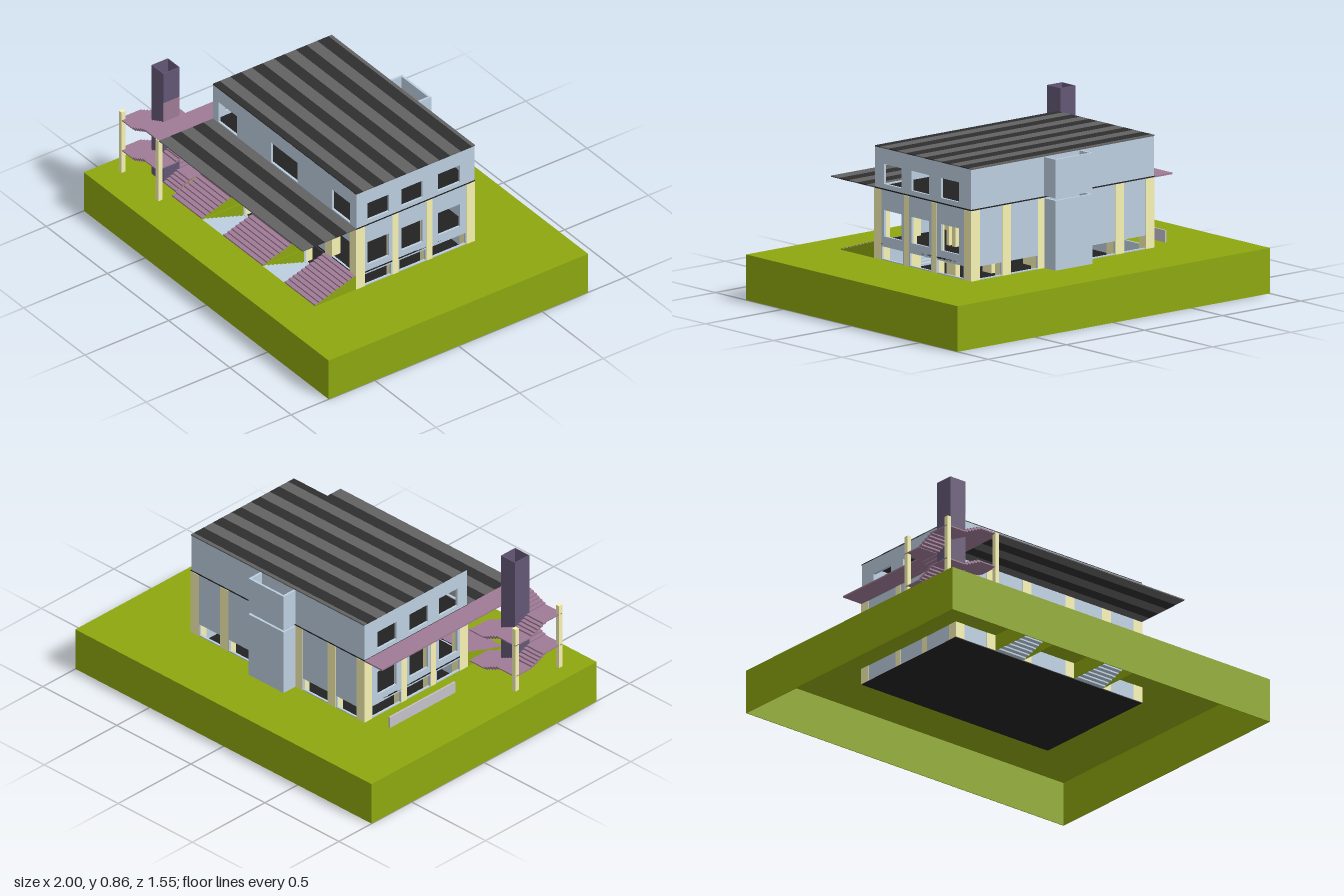
import * as THREE from 'three';

const mat = (color) => new THREE.MeshStandardMaterial({ color, side: THREE.DoubleSide });

export function createModel() {
  const root = new THREE.Group();
  const M = {
    grass: mat(0x8da70f), wall: mat(0xbccfe0), pillar: mat(0xf8f3b3), stair: mat(0x9f7b96),
    shaft: mat(0x645776), roofLight: mat(0x626262), roofDark: mat(0x2f2f2f),
    floor: mat(0x222222), panel: mat(0xc4c1cb),
  };
  const group = (name, parent = root) => {
    const g = new THREE.Group();
    g.name = name;
    parent.add(g);
    return g;
  };
  // box given by its limits on each axis
  const box = (name, m, x0, x1, y0, y1, z0, z1, parent = root) => {
    const b = new THREE.Mesh(new THREE.BoxGeometry(x1 - x0, y1 - y0, z1 - z0), m);
    b.position.set((x0 + x1) / 2, (y0 + y1) / 2, (z0 + z1) / 2);
    b.name = name;
    parent.add(b);
  };
  const rect = (a, b, c, d, T = THREE.Path) => {
    const p = new T();
    p.moveTo(a, c); p.lineTo(b, c); p.lineTo(b, d); p.lineTo(a, d); p.closePath();
    return p;
  };

  const G = 0.225, BASE = 0.145, F1 = 0.3, F2 = 0.573, TOP = 0.777;
  const X = 0.585, ZB = -0.4, ZF = 0.307, T = 0.012;
  const Z1 = 0.553, D = 0.775;
  const wells = [[-0.335, -0.165], [0.16, 0.335]];

  // Ground: open-bottomed shell with a hole for the basement and its entrances
  const ground = group('ground');
  const lawn = rect(-1, 1, -D, D, THREE.Shape);
  const hole = new THREE.Path();
  hole.moveTo(-X, -ZB);
  hole.lineTo(-X, -ZF);
  for (const [a, b] of wells) {
    hole.lineTo(a, -ZF); hole.lineTo(a, -Z1); hole.lineTo(b, -Z1); hole.lineTo(b, -ZF);
  }
  hole.lineTo(X, -ZF);
  hole.lineTo(X, -ZB);
  hole.closePath();
  lawn.holes.push(hole);
  const top = new THREE.Mesh(new THREE.ShapeGeometry(lawn), M.grass);
  top.rotation.x = -Math.PI / 2;
  top.position.y = G;
  top.name = 'lawn';
  ground.add(top);
  box('groundSide', M.grass, -1, -0.996, 0, G, -D, D, ground);
  box('groundSide', M.grass, 0.996, 1, 0, G, -D, D, ground);
  box('groundBack', M.grass, -1, 1, 0, G, -D, -D + 0.004, ground);
  box('groundFront', M.grass, -1, 1, 0, G, D - 0.004, D, ground);

  // Walls: a pierced sheet in the xy plane, holes as [a, b, bottom, top]
  const building = group('building');
  const wall = (name, a, b, holes, place) => {
    const s = rect(a, b, BASE, TOP, THREE.Shape);
    holes.forEach((h) => s.holes.push(rect(...h)));
    const w = new THREE.Mesh(new THREE.ExtrudeGeometry(s, { depth: T, bevelEnabled: false }), M.wall);
    place(w);
    w.name = name;
    building.add(w);
  };
  const frontBays = [[-0.54, -0.39], [-0.11, 0.105], [0.385, 0.535]];
  const frontHoles = frontBays.flatMap(([a, b]) => [[a, b, F1 + 0.008, 0.473], [a, b, 0.585, 0.699]]);
  frontHoles.push([-0.335, -0.168, BASE + 0.01, 0.295], [0.16, 0.332, BASE + 0.01, 0.295]);
  wall('frontWall', -X, X, frontHoles, (w) => { w.position.z = ZF - T; });

  const backHoles = [[-0.535, -0.395], [-0.335, -0.17], [0.16, 0.33], [0.39, 0.53]]
    .map(([a, b]) => [a, b, 0.23, 0.292]);
  wall('backWall', -X, X, backHoles, (w) => { w.position.z = ZB; });

  // side sheets are drawn with their horizontal axis along -z
  const sideHoles = [[-0.24, -0.112], [-0.038, 0.09], [0.18, 0.312]]
    .flatMap(([a, b]) => [[a, b, 0.602, 0.7], [a, b, 0.343, 0.473]]);
  [[-0.255, -0.1], [-0.05, 0.107], [0.15, 0.345]].forEach(([a, b]) => sideHoles.push([a, b, 0.23, 0.292]));
  for (const x of [-X, X - T]) {
    wall('sideWall', -ZF, -ZB, sideHoles, (w) => {
      w.rotation.y = Math.PI / 2;
      w.position.x = x;
    });
  }

  // Pillars standing slightly proud of the walls up to the first roof
  const P = 0.002;
  const pillar = (x0, x1, z0, z1, name = 'pillar', y1 = F2 - 0.002) =>
    box(name, M.pillar, x0, x1, BASE, y1, z0, z1, building);
  for (const x of [-0.587, -0.392, -0.165, 0.103, 0.333, 0.532]) {
    pillar(x, x + 0.055, ZF - 0.05, ZF + P);
    pillar(x, x + 0.055, ZB - P, ZB + 0.05);
  }
  for (const z of [0.055, -0.146]) {
    pillar(-X - P, -X + 0.05, z, z + 0.036);
    pillar(X - 0.05, X + P, z, z + 0.036);
  }
  for (const x of [-0.37, -0.14, 0.12, 0.35]) {
    pillar(x, x + 0.03, -0.004, 0.016, 'innerPillar');
    pillar(x, x + 0.03, -0.05, -0.025, 'innerPillar');
    pillar(x, x + 0.03, -0.05, 0.016, 'innerPillarFoot', F1);
  }

  // Floors
  box('basementFloor', M.floor, -X, X, BASE - 0.004, BASE, ZB, ZF, building);
  box('groundFloor', M.floor, -X, X, F1, F1 + 0.008, ZB + T, ZF + 0.002, building);
  box('upperFloor', M.floor, -X - 0.002, X + 0.002, F2, F2 + 0.006, ZB - 0.002, ZF, building);

  // Striped main roof and front canopy
  const stripes = (name, y, z0, z1, darks) => {
    const g = group(name);
    let z = z0;
    for (const [a, b] of darks) {
      box('lightStripe', M.roofLight, -X, X, y, y + 0.006, z, a, g);
      box('darkStripe', M.roofDark, -X, X, y, y + 0.006, a, b, g);
      z = b;
    }
    if (z < z1) box('lightStripe', M.roofLight, -X, X, y, y + 0.006, z, z1, g);
  };
  stripes('mainRoof', TOP - 0.001, ZB - 0.003, ZF,
    [[-0.383, -0.316], [-0.252, -0.187], [-0.122, -0.058], [0.01, 0.074], [0.139, 0.204], [0.267, ZF]]);
  stripes('canopy', F2, ZF, 0.628, [[0.364, 0.43], [0.497, 0.562]]);

  // Back bay: two open-topped stacked shells
  const bay = group('backBay');
  for (const [y0, y1] of [[G, 0.57], [0.582, 0.773]]) {
    box('bayBack', M.wall, -0.12, 0.118, y0, y1, -0.483, -0.483 + T, bay);
    box('baySide', M.wall, -0.12, -0.12 + T, y0, y1, -0.483 + T, ZB, bay);
    box('baySide', M.wall, 0.118 - T, 0.118, y0, y1, -0.483 + T, ZB, bay);
  }

  // Wide front stairs with grassy flanks
  const N = 10;
  const profile = new THREE.Shape();
  profile.moveTo(ZF, G);
  profile.lineTo(Z1, G);
  for (let i = 0; i < N; i++) {
    const y = G + ((F1 + 0.004 - G) * (i + 1)) / N;
    profile.lineTo(Z1 - ((Z1 - ZF) * i) / N, y);
    profile.lineTo(Z1 - ((Z1 - ZF) * (i + 1)) / N, y);
  }
  profile.closePath();
  for (const [a, b] of [[-X, -0.338], [-0.165, 0.158], [0.335, X]]) {
    const geo = new THREE.ExtrudeGeometry(profile, { depth: b - a, bevelEnabled: false });
    const s = new THREE.Mesh(geo, [M.grass, M.stair]);
    s.rotation.y = -Math.PI / 2;
    s.position.x = b;
    s.name = 'frontStair';
    root.add(s);
  }

  // Sunken basement entrances: grassy retaining walls and steps leading down
  for (const [a, b] of wells) {
    const g = group('basementEntrance');
    box('retainingWall', M.grass, a - 0.003, a, BASE, G - 0.001, ZF, Z1, g);
    box('retainingWall', M.grass, b, b + 0.003, BASE, G - 0.001, ZF, Z1, g);
    box('retainingWall', M.grass, a, b, BASE, G - 0.001, Z1, Z1 + 0.003, g);
    const run = (Z1 - ZF) / N, drop = (G - BASE) / N;
    for (let i = 0; i < N; i++) {
      const y = G - drop * i, z = Z1 - run * i;
      box('basementStep', M.wall, a, b, y - drop - 0.001, y, z - run, z, g);
    }
  }

  // Raised walkway and the low wall beneath it
  box('walkway', M.stair, -0.703, -X, F2 - 0.003, F2 + 0.005, ZB, 0.628);
  box('lowWall', M.panel, -0.708, -0.699, G, 0.285, ZB + 0.05, 0.1);

  // Hollow lift shaft
  const shaft = group('liftShaft');
  const [sx0, sx1, sz0, sz1, sw, top1] = [-0.798, -0.702, 0.42, 0.518, 0.004, 0.859];
  box('shaftSide', M.shaft, sx0, sx0 + sw, G, top1, sz0, sz1, shaft);
  box('shaftSide', M.shaft, sx1 - sw, sx1, G, F2, sz0, sz1, shaft);
  box('liftDoor', M.stair, sx1 - sw, sx1, F2, 0.688, sz0, sz1, shaft);
  box('shaftSide', M.shaft, sx1 - sw, sx1, 0.688, top1, sz0, sz1, shaft);
  box('shaftBack', M.shaft, sx0 + sw, sx1 - sw, G, top1, sz0, sz0 + sw, shaft);
  box('shaftFront', M.shaft, sx0 + sw, sx1 - sw, G, top1, sz1 - sw, sz1, shaft);

  // Square stair winding twice around the shaft: right, back, left, front
  const tower = group('windingStair');
  const [ox0, ox1, oz0, oz1] = [-0.91, -0.6, 0.307, 0.628];
  const rise = (F2 + 0.002 - G) / 8, K = 5, R = rise / K;
  const { lerp } = THREE.MathUtils;
  for (let f = 0; f < 8; f++) {
    const side = f % 4, y = G + f * rise;
    for (let i = 0; i < K; i++) {
      const t0 = i / K, t1 = (i + 1) / K, yt = y + R * (i + 1);
      const lim = [
        [sx1, ox1, lerp(sz1, sz0, t1), lerp(sz1, sz0, t0)],
        [lerp(sx1, sx0, t1), lerp(sx1, sx0, t0), oz0, sz0],
        [ox0, sx0, lerp(sz0, sz1, t0), lerp(sz0, sz1, t1)],
        [lerp(sx0, sx1, t0), lerp(sx0, sx1, t1), sz1, oz1],
      ][side];
      box('step', M.stair, lim[0], lim[1], yt - R - 0.003, yt, lim[2], lim[3], tower);
    }
    if (f === 7) break;
    const corner = [[sx1, ox1, oz0, sz0], [ox0, sx0, oz0, sz0], [ox0, sx0, sz1, oz1], [sx1, ox1, sz1, oz1]][side];
    const yl = y + rise;
    box('landing', M.stair, corner[0], corner[1], yl - 0.006, yl, corner[2], corner[3], tower);
  }
  // Posts carrying the winding stair
  for (const [x, z] of [[-0.899, 0.62], [-0.899, 0.319], [-0.598, 0.62]]) {
    box('stairPost', M.pillar, x - 0.011, x + 0.011, G, F2 + 0.004, z - 0.012, z + 0.012, tower);
  }
  return root;
}
